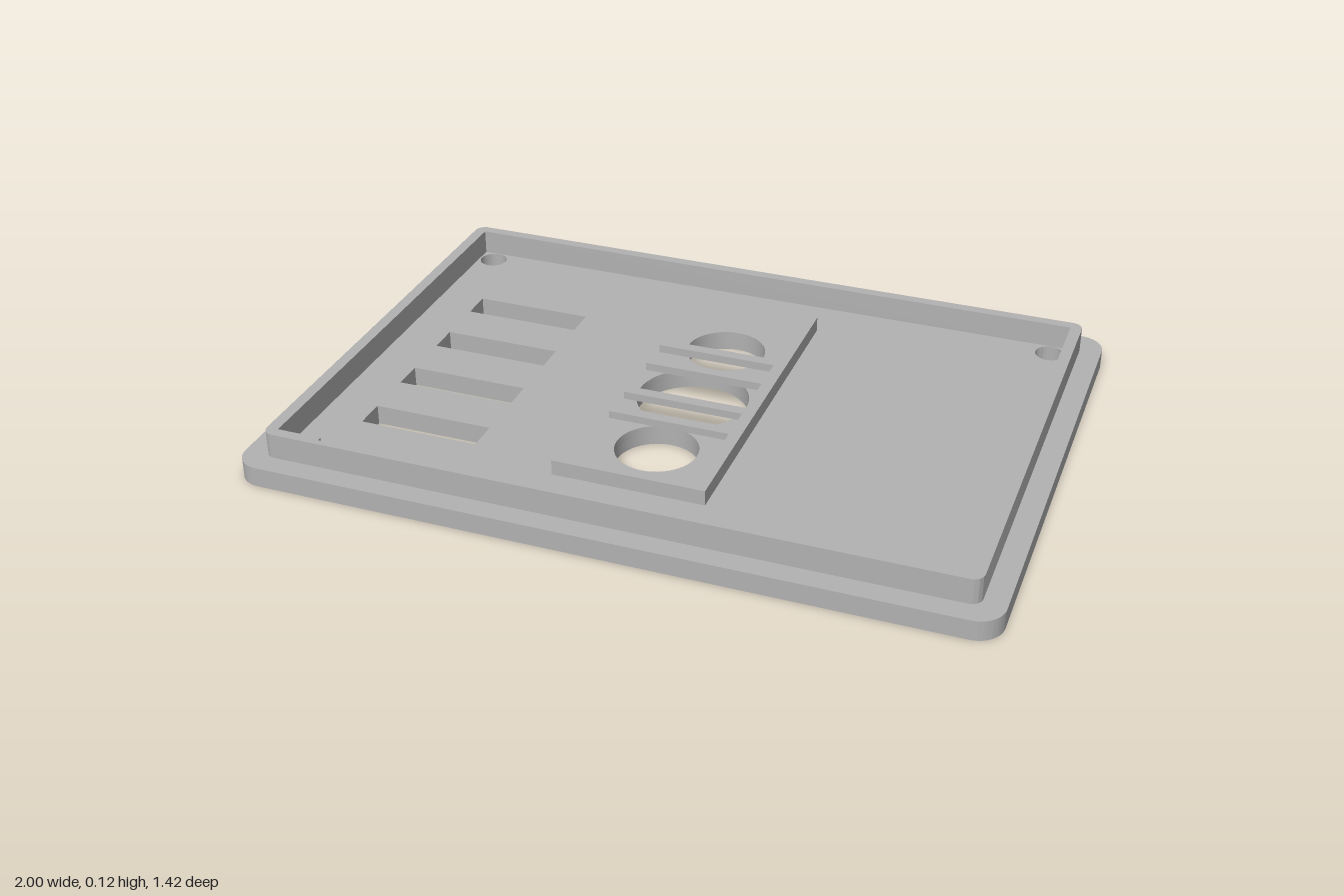
import * as THREE from 'three';
import { toCreasedNormals } from 'three/addons/utils/BufferGeometryUtils.js';

// Outlines are given in plan (x, z); shape y is -z so extrusions rise along +y.
function rect(x0, x1, z0, z1, Type = THREE.Path) {
  const p = new Type();
  p.moveTo(x0, -z0).lineTo(x1, -z0).lineTo(x1, -z1).lineTo(x0, -z1).closePath();
  return p;
}

function circle(x, z, r) {
  const p = new THREE.Path();
  p.absarc(x, -z, r, 0, Math.PI * 2, true);
  return p;
}

function roundedRect(hx, hz, r) {
  const s = new THREE.Shape();
  s.absarc(hx - r, hz - r, r, 0, Math.PI / 2);
  s.absarc(-hx + r, hz - r, r, Math.PI / 2, Math.PI);
  s.absarc(-hx + r, -hz + r, r, Math.PI, Math.PI * 1.5);
  s.absarc(hx - r, -hz + r, r, Math.PI * 1.5, Math.PI * 2);
  s.closePath();
  return s;
}

export function createModel() {
  const group = new THREE.Group();
  const grey = new THREE.MeshStandardMaterial({ color: 0xb2b2b2 });
  grey.name = 'grey';

  function slab(name, shape, holes, y0, y1) {
    shape.holes.push(...holes);
    let geo = new THREE.ExtrudeGeometry(shape, { depth: y1 - y0, bevelEnabled: false, curveSegments: 24 });
    geo.rotateX(-Math.PI / 2).translate(0, y0, 0);
    geo = toCreasedNormals(geo, 0.5);
    const mesh = new THREE.Mesh(geo, grey);
    mesh.name = name;
    group.add(mesh);
  }

  const plateTop = 0.055, pocketTop = 0.03, rimTop = 0.125, frameTop = 0.097;
  const slotX0 = -0.784, slotX1 = -0.452, slotEnd = 0.632;

  // Openings that go right through the plate
  function throughHoles() {
    const holes = [circle(0, -0.004, 0.153)];
    for (const s of [-1, 1]) {
      holes.push(circle(0, -0.004 + s * 0.275, 0.111));
      for (const sx of [-1, 1]) holes.push(circle(sx * 0.863, -0.004 + s * 0.574, 0.04));
    }
    for (let i = 0; i < 5; i++) {
      const z = -0.289 + i * 0.2195;
      holes.push(rect(slotX0, slotX1, z - 0.043, z + 0.043));
    }
    return holes;
  }

  // Base plate: the lower layer also has three blind pockets
  const pockets = [[0.348, -0.275], [0.254, -0.275], [0.306, 0.27]].map(([x, z]) => circle(x, z, 0.03));
  slab('plateBottom', roundedRect(1, 0.71, 0.07), [...throughHoles(), ...pockets], 0, pocketTop);
  slab('plateTop', roundedRect(1, 0.71, 0.07), throughHoles(), pocketTop, plateTop);

  // Raised rim, its inside notched where the last slot cuts into it
  const inner = new THREE.Path();
  const ix = 0.908, iz = 0.62;
  [[-ix, -iz], [ix, -iz], [ix, iz], [slotX1, iz], [slotX1, slotEnd], [slotX0, slotEnd], [slotX0, iz], [-ix, iz]]
    .forEach(([x, z], i) => (i ? inner.lineTo(x, -z) : inner.moveTo(x, -z)));
  inner.closePath();
  slab('rim', roundedRect(0.94, 0.65, 0.03), [inner], plateTop, rimTop);

  // Central frame divided into five compartments
  const cells = [[-0.45, -0.209], [-0.177, -0.102], [-0.07, 0.064], [0.096, 0.171], [0.203, 0.444]];
  slab('dividedFrame', rect(-0.207, 0.207, -0.482, 0.477, THREE.Shape),
    cells.map(([a, b]) => rect(-0.174, 0.174, a, b)), plateTop, frameTop);

  return group;
}
